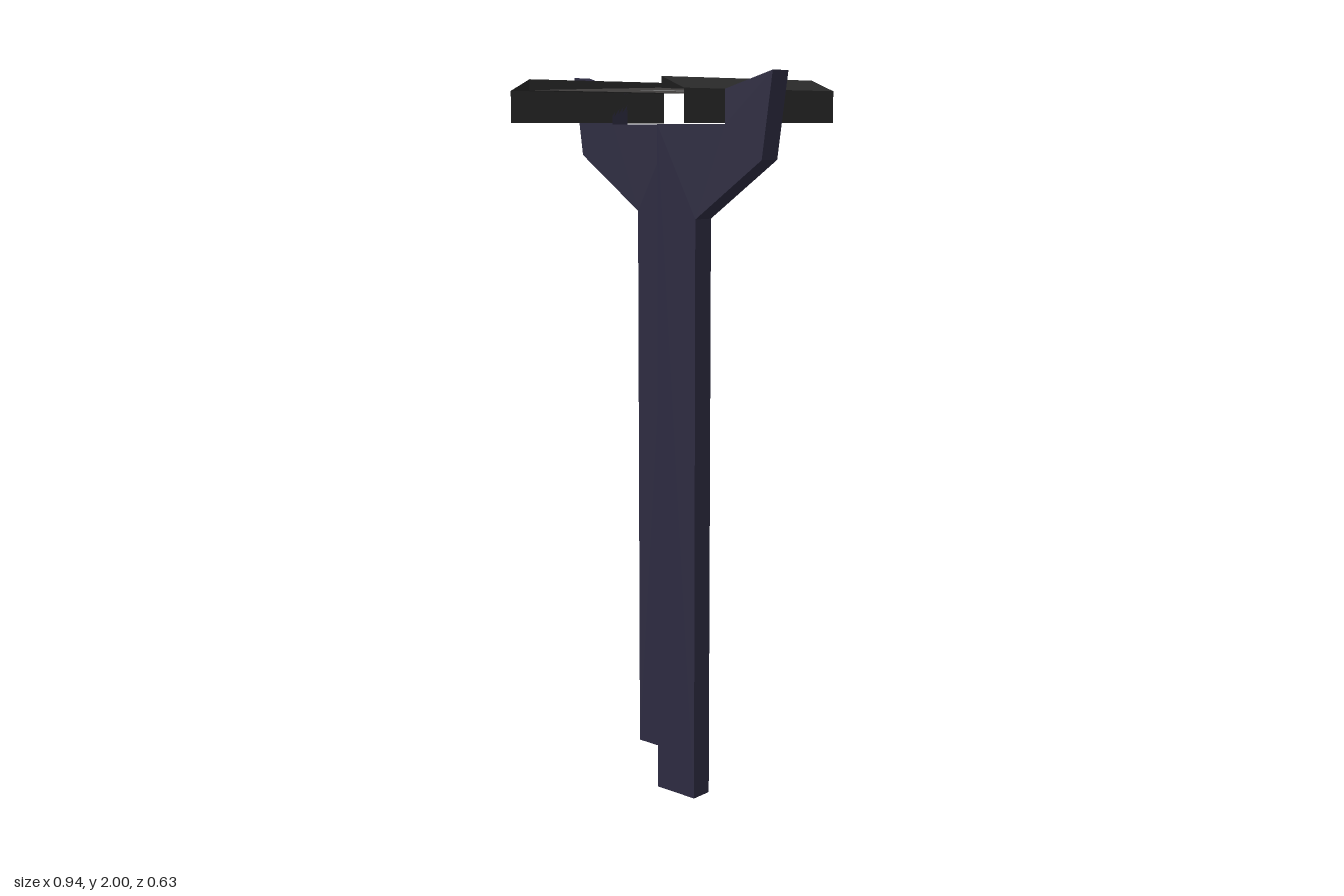
import * as THREE from 'three';

const HALF_DEPTH = 0.315;

function shapeFrom(points) {
  return new THREE.Shape(points.map(([x, y]) => new THREE.Vector2(x, y)));
}

// Thin sheet: an open (x, y) profile swept along z
function sheet(profile, depth) {
  const pos = [];
  for (let i = 0; i < profile.length - 1; i++) {
    const [ax, ay] = profile[i];
    const [bx, by] = profile[i + 1];
    pos.push(ax, ay, depth, bx, by, depth, bx, by, -depth);
    pos.push(ax, ay, depth, bx, by, -depth, ax, ay, -depth);
  }
  const g = new THREE.BufferGeometry();
  g.setAttribute('position', new THREE.Float32BufferAttribute(pos, 3));
  g.computeVertexNormals();
  return g;
}

export function createModel() {
  const postMat = new THREE.MeshStandardMaterial({ color: 0x2d2b41 });
  postMat.name = 'dark indigo';
  const railMat = new THREE.MeshStandardMaterial({ color: 0x2c2c2c, side: THREE.DoubleSide });
  railMat.name = 'charcoal';
  const plateMat = new THREE.MeshStandardMaterial({ color: 0x7b7775, side: THREE.DoubleSide });
  plateMat.name = 'warm grey';
  const panelMat = new THREE.MeshStandardMaterial({ color: 0xcacaca, side: THREE.DoubleSide });
  panelMat.name = 'light grey';

  const model = new THREE.Group();
  model.name = 'tallStand';
  const add = (name, geometry, material, parent = model) => {
    const mesh = new THREE.Mesh(geometry, material);
    mesh.name = name;
    parent.add(mesh);
    return mesh;
  };

  // Post with an outward bracket and raised horn
  const postGeo = new THREE.ExtrudeGeometry(shapeFrom([
    [0.08, 0], [0.215, 0], [0.215, 1.617], [0.437, 1.775],
    [0.47, 2], [0.315, 1.955], [0.315, 1.865], [0.08, 1.865],
  ]), { depth: 0.064, bevelEnabled: false });
  postGeo.translate(0, 0, 0.09);

  // Folded side rail: inner lip, sloping top, outer wall
  const railGeo = sheet([[0.24, 1.955], [0.24, 1.985], [0.315, 1.955], [0.315, 1.868]], HALF_DEPTH);

  // The two sides are half turns of each other
  ['left', 'right'].forEach((side, i) => {
    const half = new THREE.Group();
    half.name = side + 'Side';
    half.rotation.y = i * Math.PI;
    add(side + 'Post', postGeo, postMat, half);
    add(side + 'Rail', railGeo, railMat, half);
    model.add(half);
  });

  // Top plate with an inset panel
  const w = 0.045, d = 0.105, c = 0.01;
  const panelOutline = [
    [w, d - c], [w - c, d], [c - w, d], [-w, d - c],
    [-w, c - d], [c - w, -d], [w - c, -d], [w, c - d],
  ];
  const plateShape = shapeFrom([
    [-0.24, -HALF_DEPTH], [0.24, -HALF_DEPTH], [0.24, HALF_DEPTH], [-0.24, HALF_DEPTH],
  ]);
  plateShape.holes.push(shapeFrom(panelOutline));
  const flat = (shape) => new THREE.ShapeGeometry(shape).rotateX(-Math.PI / 2).translate(0, 1.956, 0);
  add('topPlate', flat(plateShape), plateMat);
  add('insetPanel', flat(shapeFrom(panelOutline)), panelMat);

  return model;
}
